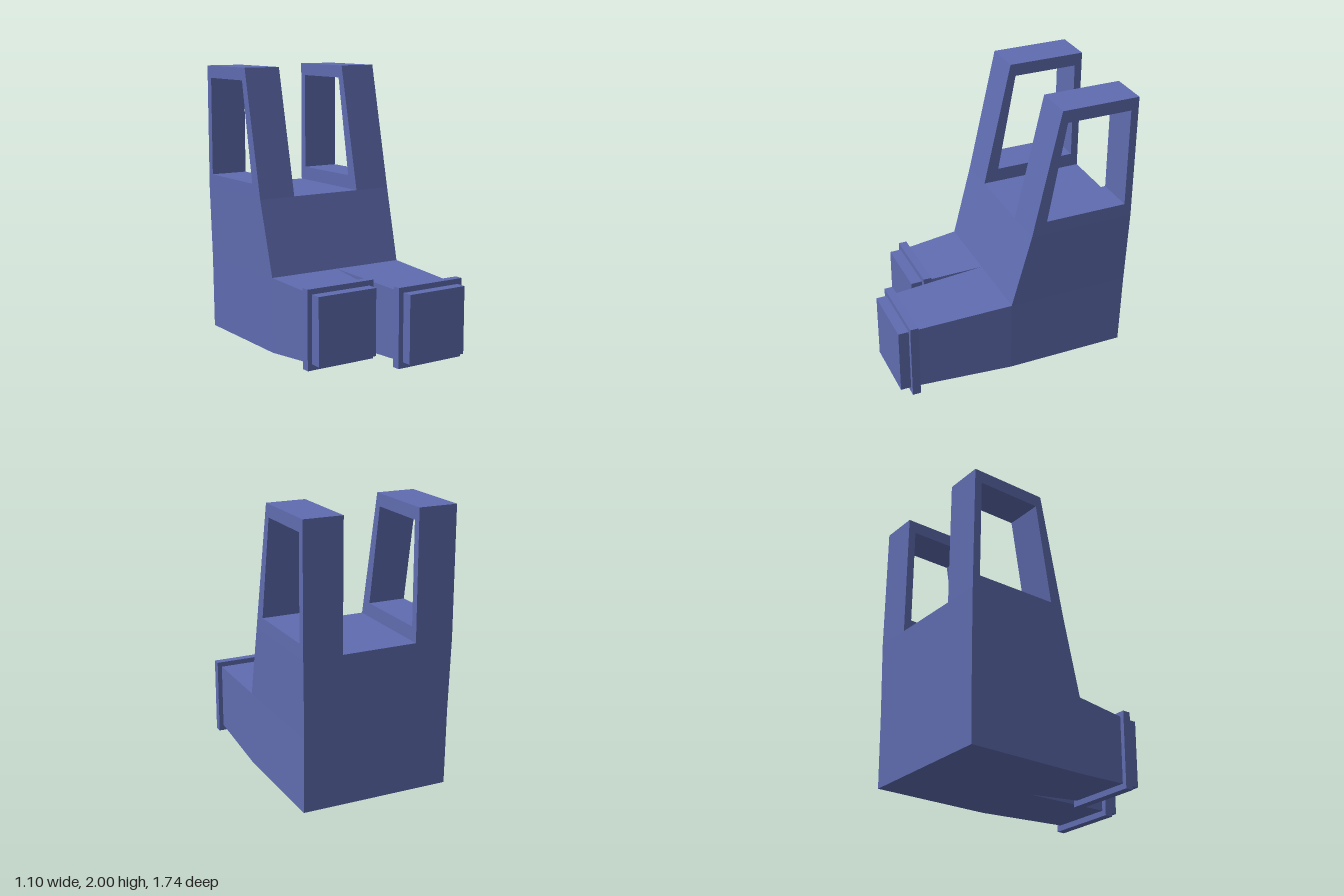
import * as THREE from 'three';

const material = new THREE.MeshStandardMaterial({ color: 0x5f6cb0, flatShading: true });

function add(group, name, geometry) {
  const mesh = new THREE.Mesh(geometry, material);
  mesh.name = name;
  group.add(mesh);
}

// Skin a closed solid through four-cornered sections, each listed counter-clockwise seen from its far end
function loft(sections) {
  const index = [];
  const last = (sections.length - 1) * 4;
  for (let s = 0; s < last; s += 4) {
    for (let i = 0; i < 4; i++) {
      const a = s + i, b = s + (i + 1) % 4;
      index.push(a, b, b + 4, a, b + 4, a + 4);
    }
  }
  index.push(0, 2, 1, 0, 3, 2, last, last + 1, last + 2, last, last + 2, last + 3);
  const indexed = new THREE.BufferGeometry();
  indexed.setAttribute('position', new THREE.Float32BufferAttribute(sections.flat(2), 3));
  indexed.setIndex(index);
  const geometry = indexed.toNonIndexed();
  geometry.computeVertexNormals();
  return geometry;
}

// Horizontal section of the torso
const level = (y, w, back, front) => [[-w, y, front], [w, y, front], [w, y, back], [-w, y, back]];
// Upright section of a leg
const slice = (z, x0, x1, y0, y1) => [[x0, y0, z], [x1, y0, z], [x1, y1, z], [x0, y1, z]];

function box(x0, x1, y0, y1, z0, z1) {
  return new THREE.BoxGeometry(x1 - x0, y1 - y0, z1 - z0)
    .translate((x0 + x1) / 2, (y0 + y1) / 2, (z0 + z1) / 2);
}

const points = (list) => list.map(([z, y]) => new THREE.Vector2(z, y));

export function createModel() {
  const model = new THREE.Group();
  model.name = 'overalls';

  // Torso and seat
  add(model, 'torso', loft([
    level(0.015, 0.54, -0.84, 0.04),
    level(0.555, 0.54, -0.852, 0.04),
    level(1.09, 0.55, -0.865, -0.10),
  ]));

  // Shoulder straps, each pierced sideways by an arm opening
  const strap = new THREE.Shape(points([[-0.10, 1.09], [-0.30, 2], [-0.865, 2], [-0.865, 1.09]]));
  strap.holes.push(new THREE.Path(points([[-0.21, 1.19], [-0.34, 1.91], [-0.81, 1.91], [-0.81, 1.19]])));
  for (const [name, outer] of [['leftStrap', 0.55], ['rightStrap', -0.27]]) {
    const geometry = new THREE.ExtrudeGeometry(strap, { depth: 0.28, bevelEnabled: false });
    add(model, name, geometry.rotateY(-Math.PI / 2).translate(outer, 0, 0));
  }

  // Tapered legs of different lengths, with a cuff band and a plain end
  for (const [side, sign, cuffZ, endZ] of [['left', 1, 0.735, 0.87], ['right', -1, 0.437, 0.58]]) {
    const span = (a, b) => (sign > 0 ? [a, b] : [-b, -a]);
    const end = span(0.035, 0.503);
    add(model, side + 'Leg', loft([
      slice(0.04, ...span(0, 0.54), 0.015, 0.555),
      slice(cuffZ + 0.03, ...end, 0.043, 0.525),
      slice(endZ, ...end, 0.043, 0.525),
    ]));
    add(model, side + 'Cuff', box(...span(-0.002, 0.538), 0, 0.563, cuffZ, cuffZ + 0.06));
  }
  return model;
}
